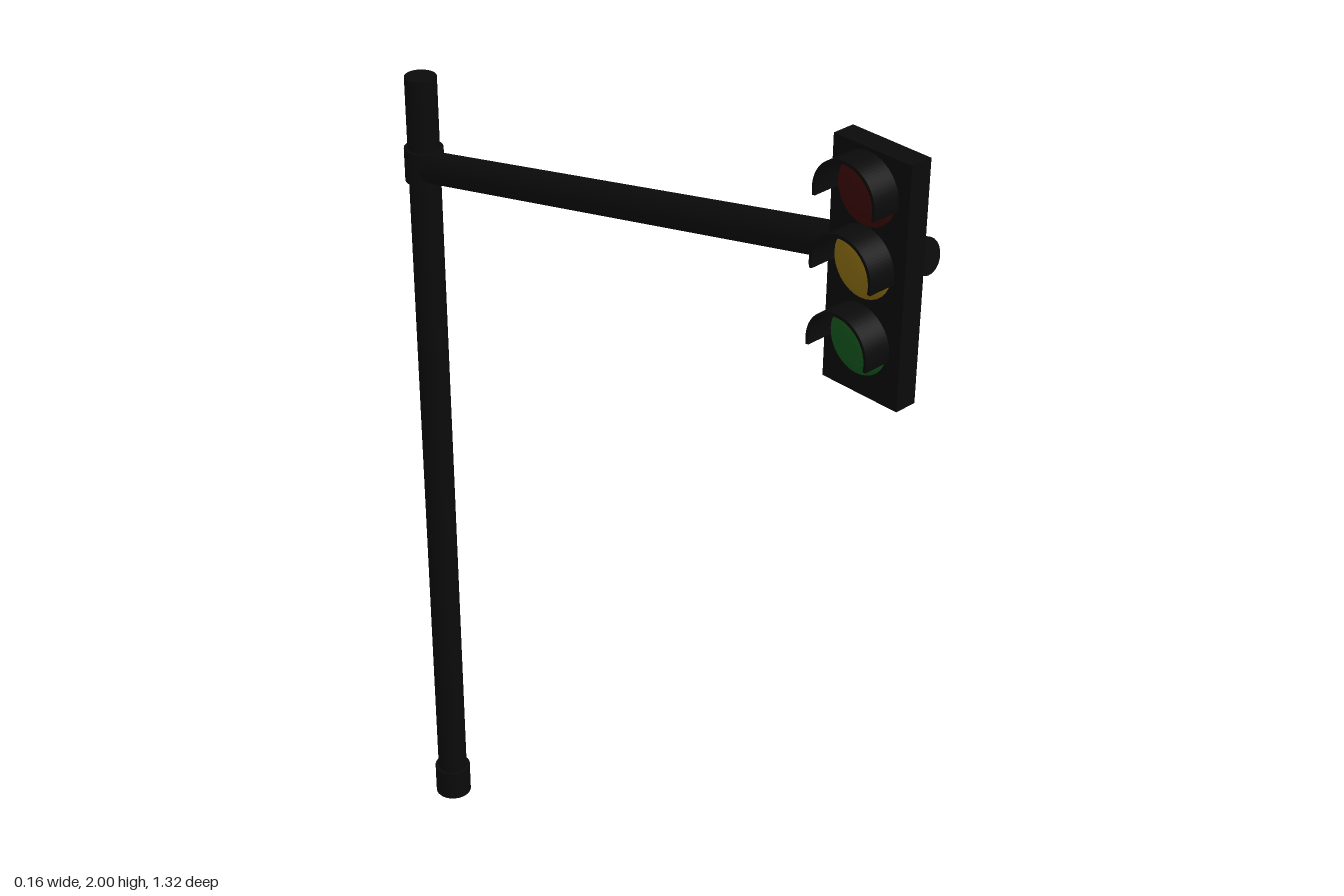
import * as THREE from 'three';

const POLE_X = 0.04, POLE_Z = -0.622, HEAD_Z = 0.577, FACE_X = -0.032;

export function createModel() {
  const model = new THREE.Group();
  model.name = 'trafficLight';
  const paint = (color) => new THREE.MeshStandardMaterial({ color });
  const black = paint(0x0a0a0a);

  function add(parent, name, geometry, material, x = 0, y = 0, z = 0) {
    const mesh = new THREE.Mesh(geometry, material);
    mesh.name = name;
    mesh.position.set(x, y, z);
    parent.add(mesh);
    return mesh;
  }

  // Upright pole with its foot and the collar that holds the arm
  const tube = (name, radius, bottom, top) => add(model, name,
    new THREE.CylinderGeometry(radius, radius, top - bottom, 32), black,
    POLE_X, (bottom + top) / 2, POLE_Z);
  tube('pole', 0.031, 0, 1.71);
  tube('poleFoot', 0.038, 0, 0.068);
  tube('armCollar', 0.038, 1.498, 1.565);

  // Sloping arm
  const start = new THREE.Vector3(POLE_X, 1.525, POLE_Z);
  const end = new THREE.Vector3(POLE_X, 1.815, 0.638);
  const along = end.clone().sub(start);
  const arm = add(model, 'arm', new THREE.CylinderGeometry(0.031, 0.031, along.length(), 32), black);
  arm.position.copy(start).add(end).multiplyScalar(0.5);
  arm.quaternion.setFromUnitVectors(new THREE.Vector3(0, 1, 0), along.normalize());

  // Signal housing, its lamps looking towards -x
  const head = new THREE.Group();
  head.name = 'signalHead';
  model.add(head);
  add(head, 'housing', new THREE.BoxGeometry(0.043, 0.43, 0.162), black, FACE_X + 0.0215, 1.785, HEAD_Z);

  // Half-round visor, open below
  const droop = 0.2;
  const arch = new THREE.Shape();
  arch.absarc(0, 0, 0.066, -droop, Math.PI + droop, false);
  arch.absarc(0, 0, 0.060, Math.PI + droop, -droop, true);
  const visor = new THREE.ExtrudeGeometry(arch, { depth: 0.053, bevelEnabled: false, curveSegments: 24 });
  visor.rotateY(-Math.PI / 2);

  // Shallow domed lens
  const lens = new THREE.SphereGeometry(0.06, 32, 10, 0, Math.PI * 2, 0, Math.PI / 2);
  lens.scale(1, 0.2, 1);
  lens.rotateZ(Math.PI / 2);

  const lamps = [['red', 0x3a0606, 1.928], ['yellow', 0x8a6c12, 1.802], ['green', 0x14551c, 1.665]];
  for (const [name, color, y] of lamps) {
    add(head, name + 'Lens', lens, paint(color), FACE_X, y, HEAD_Z - 0.007);
    add(head, name + 'Visor', visor, black, FACE_X, y, HEAD_Z - 0.007);
  }
  return model;
}
